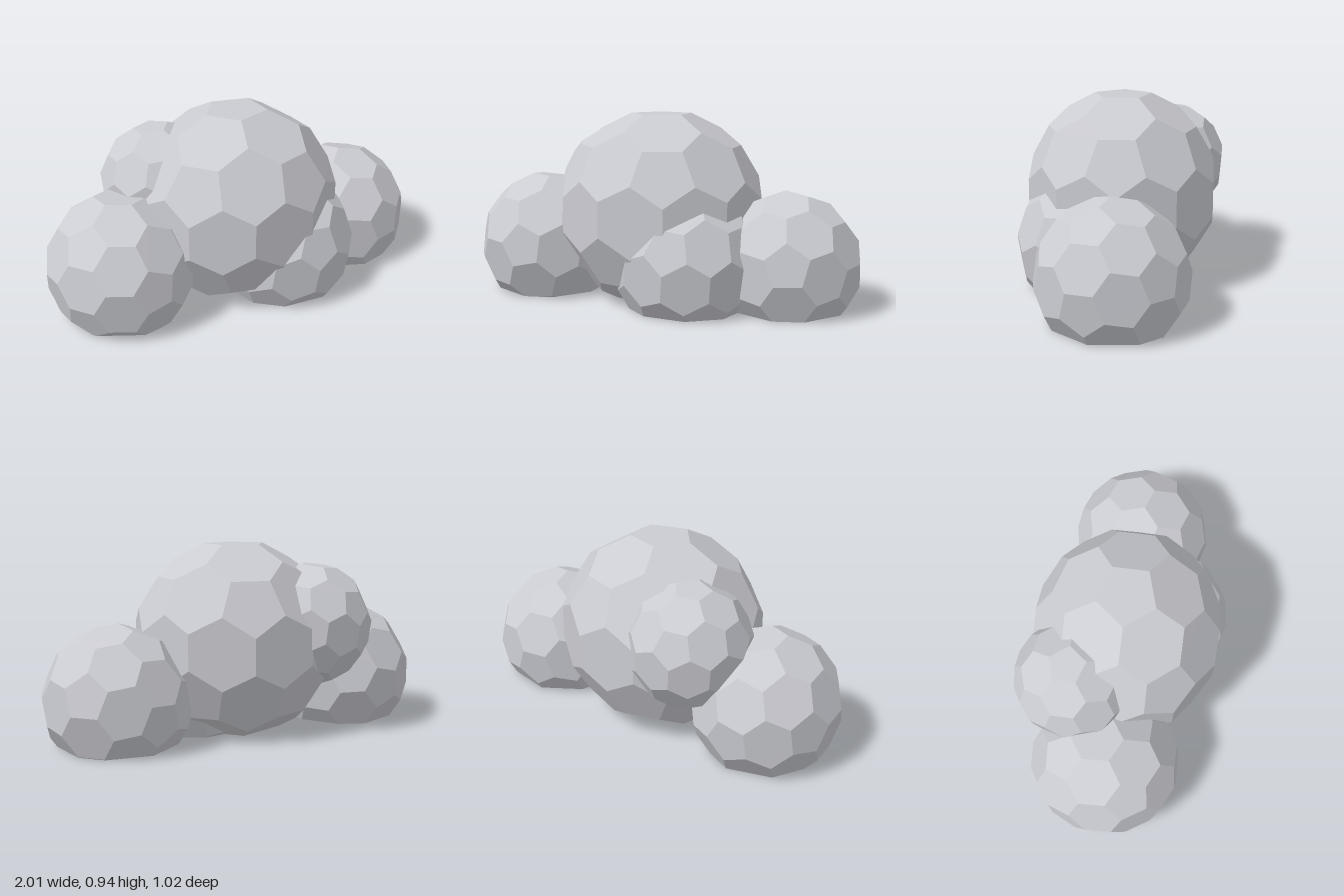
import * as THREE from 'three';
import { ConvexGeometry } from 'three/addons/geometries/ConvexGeometry.js';

const UP = new THREE.Vector3(0, 1, 0);

// Corners of a ball of 12 pentagons and 30 hexagons, a pentagon on top with one corner towards -x
function ballCorners() {
  const pos = new THREE.IcosahedronGeometry(1, 0).getAttribute('position');
  const corners = [];
  let top, side;
  for (let f = 0; f < pos.count; f += 3) {
    const axes = [0, 1, 2].map(k => new THREE.Vector3().fromBufferAttribute(pos, f + k).normalize());
    const mid = axes[0].clone().add(axes[1]).add(axes[2]).normalize();
    corners.push(mid.clone().multiplyScalar(1.057));
    for (const n of axes) {
      const out = mid.clone().addScaledVector(n, -mid.dot(n)).normalize();
      if (!top) { top = n.clone(); side = out.clone(); }
      corners.push(n.clone().addScaledVector(out, 0.322));
    }
  }
  const x = side.negate();
  const turn = new THREE.Matrix4().makeBasis(x, top, new THREE.Vector3().crossVectors(x, top)).transpose();
  return corners.map(p => p.applyMatrix4(turn));
}

// One boulder, turned, sized, moved and cut flat at the ground
function boulder(corners, { at, size, lean, spin }) {
  const q = new THREE.Quaternion().setFromUnitVectors(UP, new THREE.Vector3(...lean).normalize())
    .multiply(new THREE.Quaternion().setFromAxisAngle(UP, spin));
  const scale = new THREE.Vector3(...size);
  const centre = new THREE.Vector3(...at);
  const pts = corners.map(p => p.clone().applyQuaternion(q).multiply(scale).add(centre));
  const kept = pts.filter(p => p.y >= 0);
  // cut the edges that cross the ground
  for (let i = 0; i < pts.length; i++) {
    for (let j = i + 1; j < pts.length; j++) {
      const a = pts[i], b = pts[j];
      if (a.y * b.y < 0 && corners[i].distanceTo(corners[j]) < 0.45) {
        const cut = a.clone().lerp(b, a.y / (a.y - b.y));
        cut.y = 0;
        kept.push(cut);
      }
    }
  }
  return new ConvexGeometry(kept);
}

export function createModel() {
  const group = new THREE.Group();
  const stone = new THREE.MeshStandardMaterial({ color: 0xcbccd2 });
  stone.name = 'light grey stone';

  const corners = ballCorners();
  const boulders = {
    mainBoulder: { at: [-0.008, 0.45, 0], size: [0.5, 0.485, 0.46], lean: [0, 1, 0], spin: 0 },
    rightBoulder: { at: [-0.645, 0.24, -0.03], size: [0.346, 0.355, 0.36], lean: [-0.2, 0.82, -0.53], spin: 0.3 },
    leftBoulder: { at: [0.645, 0.212, 0], size: [0.345, 0.347, 0.343], lean: [-0.15, 0.8, -0.57], spin: 0.5 },
    backBoulder: { at: [-0.32, 0.535, -0.215], size: [0.29, 0.295, 0.29], lean: [-0.1, 1, -0.08], spin: 0.6 },
    frontBoulder: { at: [0.18, 0.22, 0.15], size: [0.35, 0.36, 0.345], lean: [0, 0.32, 0.95], spin: 0.2 },
  };
  for (const [name, spec] of Object.entries(boulders)) {
    const mesh = new THREE.Mesh(boulder(corners, spec), stone);
    mesh.name = name;
    group.add(mesh);
  }
  return group;
}
